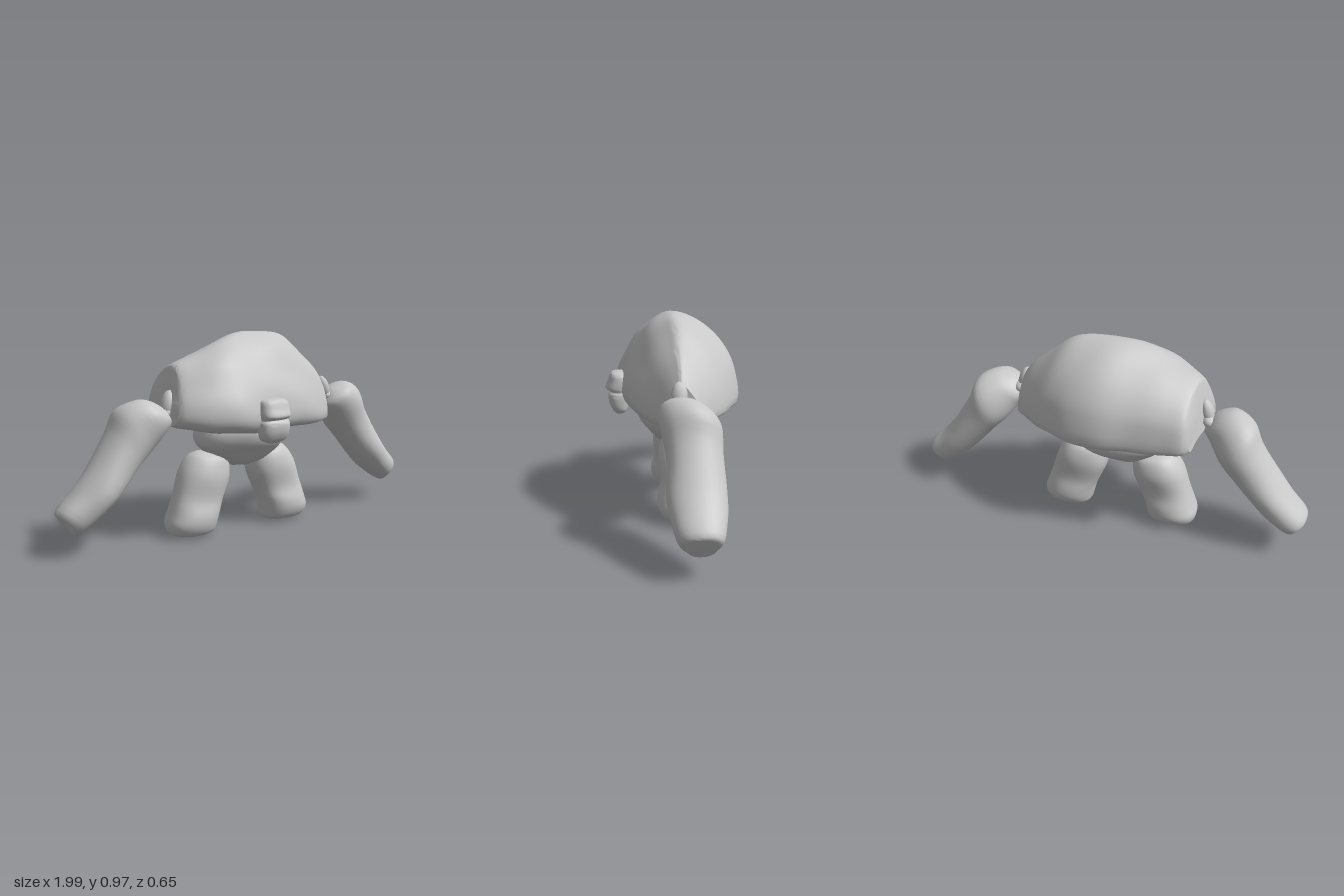
import * as THREE from 'three';
import { toCreasedNormals } from 'three/addons/utils/BufferGeometryUtils.js';

const stone = new THREE.MeshStandardMaterial({ color: 0xc8c8c8 });
stone.name = 'stone grey';

// Rounded-box outline; s runs from edge B (-1) to edge A (+1), u from back to front
function roundedProfile(power, n = 28) {
  const pow = (v) => Math.sign(v) * Math.abs(v) ** (2 / power);
  return Array.from({ length: n }, (_, i) => {
    const a = (i / n) * Math.PI * 2;
    return [pow(Math.cos(a)), pow(Math.sin(a))];
  });
}

// Smooth closed outline through a few points
function smoothProfile(points, n = 64) {
  const curve = new THREE.CatmullRomCurve3(points.map(([s, u]) => new THREE.Vector3(s, u, 0)), true);
  return Array.from({ length: n }, (_, i) => {
    const p = curve.getPoint(i / n);
    return [p.x, p.y];
  });
}

// Skin over cross-sections [ax, ay, bx, by, zFront, zBack], blending from one
// outline to another, with hewn bumps
function loft(name, sections, startProfile, endProfile, { crease = 0.9, bump = 0.004, shear = 0, steps = 4 } = {}) {
  const edgeA = new THREE.CatmullRomCurve3(sections.map((s) => new THREE.Vector3(s[0], s[1], s[4])));
  const edgeB = new THREE.CatmullRomCurve3(sections.map((s) => new THREE.Vector3(s[2], s[3], s[5])));
  const rows = (sections.length - 1) * steps;
  const n = startProfile.length;
  const pos = [];
  const idx = [];
  for (let i = 0; i <= rows; i++) {
    const k = i / rows;
    const a = edgeA.getPoint(k);
    const b = edgeB.getPoint(k);
    for (let j = 0; j < n; j++) {
      const s = THREE.MathUtils.lerp(startProfile[j][0], endProfile[j][0], k);
      const u = THREE.MathUtils.lerp(startProfile[j][1], endProfile[j][1], k);
      const t = (s + 1) / 2;
      const x = b.x + (a.x - b.x) * t;
      const y = b.y + (a.y - b.y) * t;
      const z = (a.z + b.z) / 2 + (u * (a.z - b.z)) / 2;
      const w = bump * Math.sin(x * 17 + y * 11) * Math.cos(z * 19 - y * 13 + x * 5);
      pos.push(x - shear * z, y + w * s, z + w * u);
    }
  }
  for (let i = 0; i < rows; i++) {
    for (let j = 0; j < n; j++) {
      const p = i * n + j;
      const q = i * n + ((j + 1) % n);
      idx.push(p, q, p + n, q, q + n, p + n);
    }
  }
  // End caps
  for (const row of [0, rows]) {
    const c = pos.length / 3;
    const mid = [0, 0, 0];
    for (let j = 0; j < n; j++) for (let k = 0; k < 3; k++) mid[k] += pos[(row * n + j) * 3 + k] / n;
    pos.push(...mid);
    for (let j = 0; j < n; j++) {
      const p = row * n + j;
      const q = row * n + ((j + 1) % n);
      if (row === 0) idx.push(c, q, p);
      else idx.push(c, p, q);
    }
  }
  const geo = new THREE.BufferGeometry();
  geo.setAttribute('position', new THREE.Float32BufferAttribute(pos, 3));
  geo.setIndex(idx);
  const mesh = new THREE.Mesh(toCreasedNormals(geo, crease), stone);
  mesh.name = name;
  return mesh;
}

// Small rough stone
function pebble(name, x, y, z, rx, ry, rz, tilt = 0) {
  const mesh = new THREE.Mesh(new THREE.SphereGeometry(1, 10, 7), stone);
  mesh.name = name;
  mesh.position.set(x, y, z);
  mesh.scale.set(rx, ry, rz);
  mesh.rotation.z = tilt;
  return mesh;
}

// Mirror sections across the plane x = cx
const mirror = (sections, cx) =>
  sections.map(([ax, ay, bx, by, f, k]) => [2 * cx - bx, by, 2 * cx - ax, ay, f, k]);

export function createModel() {
  const model = new THREE.Group();
  model.name = 'stoneGolem';

  // Domed torso: A is the top edge, B the underside; broad on its right, ridged on its left
  const broadEnd = smoothProfile([
    [1, 0.1], [0.92, 0.36], [0.72, 0.6], [0.3, 0.81], [-0.25, 0.97], [-0.72, 0.98], [-0.92, 0.84], [-0.97, 0.4],
    [-0.88, 0], [-0.88, -0.5], [-0.94, -0.9], [-0.84, -1], [-0.1, -0.97], [0.25, -0.88], [0.6, -0.66], [0.9, -0.28],
  ]);
  const ridgedEnd = smoothProfile([
    [1, 0.1], [0.85, 0.26], [0.6, 0.45], [0.22, 0.68], [-0.25, 0.92], [-0.72, 0.98], [-0.94, 0.85], [-1, 0.4],
    [-0.88, 0], [-0.82, -0.5], [-0.78, -0.92], [-0.68, -1], [-0.15, -0.93], [0.2, -0.76], [0.55, -0.5], [0.85, -0.18],
  ]);
  model.add(loft('torso', [
    [-0.43, 0.81, -0.47, 0.565, 0.12, -0.235],
    [-0.42, 0.83, -0.44, 0.55, 0.155, -0.26],
    [-0.34, 0.87, -0.33, 0.53, 0.22, -0.275],
    [-0.2, 0.93, -0.2, 0.515, 0.27, -0.285],
    [-0.04, 0.975, -0.05, 0.505, 0.255, -0.32],
    [0.1, 0.968, 0.1, 0.505, 0.245, -0.3],
    [0.2, 0.94, 0.22, 0.505, 0.21, -0.26],
    [0.3, 0.865, 0.32, 0.505, 0.16, -0.205],
    [0.4, 0.775, 0.41, 0.5, 0.1, -0.14],
    [0.45, 0.71, 0.455, 0.5, 0.07, -0.1],
  ], broadEnd, ridgedEnd, { crease: 0.7, bump: 0.005, shear: 0.12 }));

  // Small head with a brow ridge and mouth notch
  const headShape = roundedProfile(2.7);
  model.add(loft('head', [
    [-0.01, 0.68, -0.08, 0.68, 0.275, 0.23],
    [0.025, 0.67, -0.11, 0.67, 0.298, 0.21],
    [0.034, 0.635, -0.12, 0.635, 0.31, 0.2],
    [0.034, 0.598, -0.12, 0.598, 0.322, 0.2],
    [0.03, 0.583, -0.115, 0.583, 0.298, 0.2],
    [0.036, 0.57, -0.12, 0.57, 0.309, 0.2],
    [0.036, 0.525, -0.12, 0.525, 0.306, 0.21],
    [0.025, 0.488, -0.11, 0.488, 0.288, 0.22],
    [-0.015, 0.47, -0.07, 0.47, 0.268, 0.24],
  ], headShape, headShape, { bump: 0.002 }));

  // Pelvis, tapering downwards
  const pelvisShape = roundedProfile(2.3);
  model.add(loft('pelvis', [
    [0.1, 0.56, -0.2, 0.56, 0.12, -0.17],
    [0.165, 0.52, -0.265, 0.52, 0.17, -0.205],
    [0.18, 0.45, -0.28, 0.45, 0.155, -0.2],
    [0.16, 0.4, -0.24, 0.4, 0.115, -0.165],
    [0.08, 0.345, -0.16, 0.345, 0.07, -0.1],
    [0.0, 0.322, -0.1, 0.322, 0.03, -0.05],
  ], pelvisShape, pelvisShape, { bump: 0.008 }));

  // Rubble wedged between torso and pelvis
  for (const [x, z] of [[-0.12, -0.17], [-0.02, -0.18], [0.08, -0.17]])
    model.add(pebble('waistRubble', x, 0.54, z, 0.055, 0.02, 0.03, x));

  // Arms: A is the outer edge, running from shoulder to fist
  const arm = [
    [0.505, 0.655, 0.46, 0.585, 0.04, -0.03],
    [0.545, 0.675, 0.455, 0.56, 0.07, -0.07],
    [0.605, 0.687, 0.485, 0.525, 0.097, -0.11],
    [0.695, 0.65, 0.55, 0.44, 0.09, -0.17],
    [0.74, 0.55, 0.62, 0.365, 0.077, -0.172],
    [0.85, 0.375, 0.725, 0.25, 0.083, -0.168],
    [0.915, 0.295, 0.8, 0.18, 0.065, -0.165],
    [0.995, 0.21, 0.89, 0.115, 0.035, -0.145],
    [0.982, 0.18, 0.922, 0.1, 0.0, -0.115],
  ];
  // Legs: A is the outer edge, running from hip to foot
  const leg = [
    [0.185, 0.405, 0.07, 0.395, 0.02, -0.08],
    [0.225, 0.385, 0.03, 0.37, 0.055, -0.12],
    [0.272, 0.32, 0.02, 0.28, 0.075, -0.145],
    [0.31, 0.2, 0.06, 0.17, 0.07, -0.135],
    [0.335, 0.12, 0.085, 0.11, 0.085, -0.148],
    [0.352, 0.07, 0.098, 0.06, 0.08, -0.148],
    [0.34, 0.025, 0.11, 0.02, 0.058, -0.125],
    [0.28, 0.002, 0.155, 0.002, 0.015, -0.08],
  ];
  const [shoulderShape, fistShape] = [roundedProfile(1.9), roundedProfile(2.25)];
  const [hipShape, footShape] = [roundedProfile(2.2), roundedProfile(2.4)];
  model.add(loft('leftArm', arm, shoulderShape, fistShape, { bump: 0.005 }));
  model.add(loft('rightArm', mirror(arm, 0), shoulderShape, fistShape, { bump: 0.005 }));
  model.add(loft('leftLeg', leg, hipShape, footShape));
  model.add(loft('rightLeg', mirror(leg, -0.05), hipShape, footShape));

  // Shoulder joint stones
  for (const side of [1, -1]) {
    model.add(pebble('shoulderJoint', side * 0.465, 0.66, 0, 0.03, 0.065, 0.038, side * 0.3));
    model.add(pebble('shoulderChip', side * 0.48, 0.62, -0.01, 0.04, 0.03, 0.048, side * -0.4));
  }
  return model;
}
